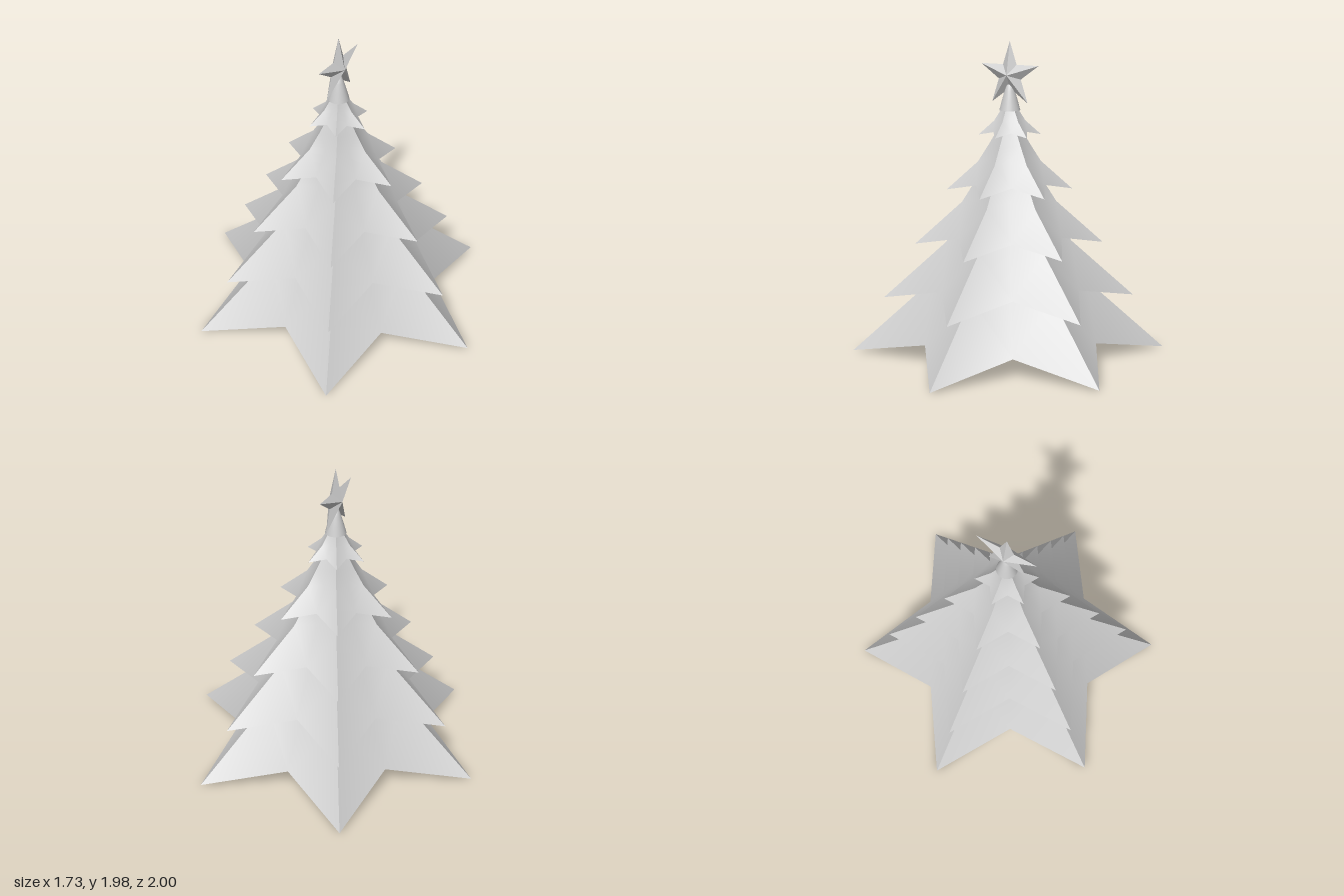
import * as THREE from 'three';
import { mergeGeometries } from 'three/addons/utils/BufferGeometryUtils.js';

const AXIS_Z = -0.015;
const material = new THREE.MeshStandardMaterial({ color: 0xcccccc, side: THREE.DoubleSide });
const facetMaterial = new THREE.MeshStandardMaterial({ color: 0xcccccc, flatShading: true });

// Rows of [ridge radius, ridge height, valley radius, valley height], as fractions of the tier radius
const PROFILE = [
  [1.0, 0.0, 0.617, 0.12],
  [0.5, 0.45, 0.37, 0.5],
  [0.33, 0.72, 0.26, 0.73],
  [0.17, 0.99, 0.15, 0.99],
];

// One sector: ridge, valley, ridge; separate sectors keep the ridges sharp and the valleys smooth
function sector(index, R) {
  const pos = [], idx = [];
  PROFILE.forEach(([rr, ry, vr, vy], row) => {
    for (let c = 0; c < 3; c++) {
      const a = (index * 2 + c) * Math.PI / 6;
      const r = (c === 1 ? vr : rr) * R;
      pos.push(Math.sin(a) * r, (c === 1 ? vy : ry) * R, Math.cos(a) * r);
      if (row > 0 && c < 2) {
        const p = (row - 1) * 3 + c;
        // diagonals mirror about the valley
        if (c === 0) idx.push(p, p + 1, p + 3, p + 1, p + 4, p + 3);
        else idx.push(p, p + 1, p + 4, p, p + 4, p + 3);
      }
    }
  });
  const g = new THREE.BufferGeometry();
  g.setAttribute('position', new THREE.Float32BufferAttribute(pos, 3));
  g.setIndex(idx);
  g.computeVertexNormals();
  return g;
}

function branchTier(R) {
  return mergeGeometries(Array.from({ length: 6 }, (_, i) => sector(i, R)));
}

// Faceted five-pointed star, raised to a point at front and back
function starGeometry(R, inner, depth) {
  const pos = [];
  const point = (i) => {
    const a = Math.PI / 2 + i * Math.PI / 5;
    const r = i % 2 ? inner : R;
    return [Math.cos(a) * r, Math.sin(a) * r, 0];
  };
  for (let i = 0; i < 10; i++) {
    pos.push(0, 0, depth, ...point(i), ...point(i + 1));
    pos.push(0, 0, -depth, ...point(i + 1), ...point(i));
  }
  const g = new THREE.BufferGeometry();
  g.setAttribute('position', new THREE.Float32BufferAttribute(pos, 3));
  g.computeVertexNormals();
  return g;
}

export function createModel() {
  const group = new THREE.Group();
  const add = (name, geometry, mat, y, z) => {
    const mesh = new THREE.Mesh(geometry, mat);
    mesh.name = name;
    mesh.position.set(0, y, z);
    group.add(mesh);
  };

  // Five open branch skirts, shrinking upwards
  for (let i = 0; i < 5; i++) {
    add(`branchTier${i + 1}`, branchTier(1 - i * 0.201), material, i * 0.349, AXIS_Z * i / 4);
  }

  // Small cone holding the star
  const cone = [[0.066, 1.55], [0.05, 1.61], [0.033, 1.67], [0.018, 1.71], [0, 1.72]]
    .map(([r, y]) => new THREE.Vector2(r, y));
  add('treetopCone', new THREE.LatheGeometry(cone, 24), material, 0, AXIS_Z);

  add('star', starGeometry(0.212, 0.081, 0.046), facetMaterial, 1.77, AXIS_Z);
  return group;
}
